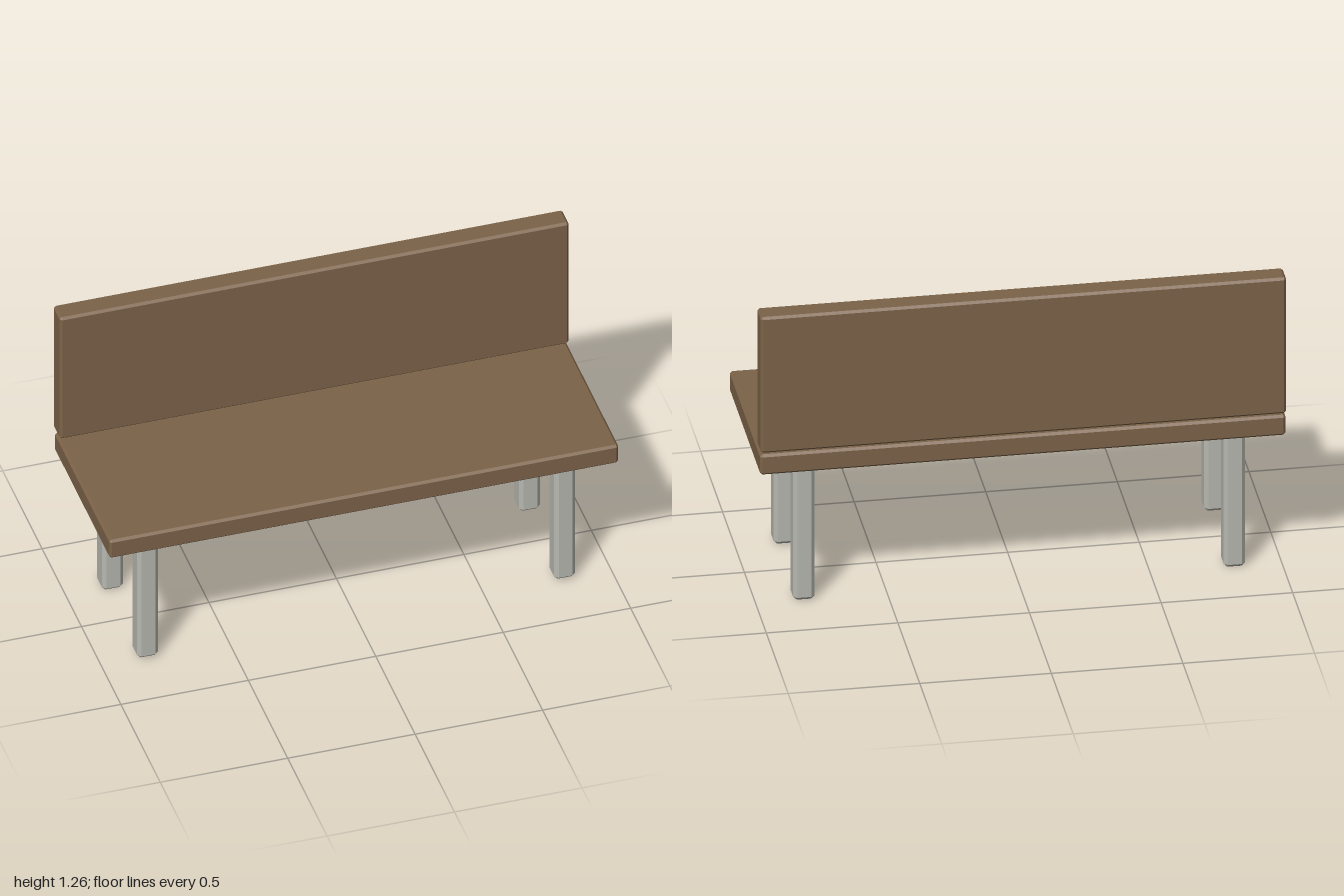
import * as THREE from 'three';
import { ConvexGeometry } from 'three/addons/geometries/ConvexGeometry.js';

// Box between two corners with chamfered edges and flat faces
function chamferedBox([x0, y0, z0], [x1, y1, z1], c) {
  const half = [(x1 - x0) / 2, (y1 - y0) / 2, (z1 - z0) / 2];
  const points = [];
  for (const sx of [-1, 1]) for (const sy of [-1, 1]) for (const sz of [-1, 1]) {
    for (let face = 0; face < 3; face++) {
      const p = half.map((h, axis) => (axis === face ? h : h - c));
      points.push(new THREE.Vector3(sx * p[0], sy * p[1], sz * p[2]));
    }
  }
  const geometry = new ConvexGeometry(points);
  geometry.translate((x0 + x1) / 2, (y0 + y1) / 2, (z0 + z1) / 2);
  return geometry;
}

export function createModel() {
  const wood = new THREE.MeshStandardMaterial({ color: 0x7c6349 });
  wood.name = 'brown wood';
  const metal = new THREE.MeshStandardMaterial({ color: 0xb8b8b0 });
  metal.name = 'pale grey metal';

  const bench = new THREE.Group();
  bench.name = 'bench';
  const add = (name, geometry, material) => {
    const mesh = new THREE.Mesh(geometry, material);
    mesh.name = name;
    bench.add(mesh);
  };

  // Seat slab and the backrest floating just above its rear edge
  add('seat', chamferedBox([-1, 0.588, -0.345], [0.997, 0.673, 0.361], 0.009), wood);
  add('backrest', chamferedBox([-1, 0.688, -0.361], [0.997, 1.261, -0.27], 0.009), wood);

  // Four square legs with blunted ends, stopping just under the seat
  for (const [side, x] of [['left', 0.816], ['right', -0.82]]) {
    for (const [end, z, foot] of [['Front', 0.226, 0.012], ['Back', -0.221, 0.004]]) {
      add(side + end + 'Leg',
        chamferedBox([x - 0.041, foot, z - 0.044], [x + 0.041, 0.581, z + 0.044], 0.014), metal);
    }
  }
  return bench;
}
